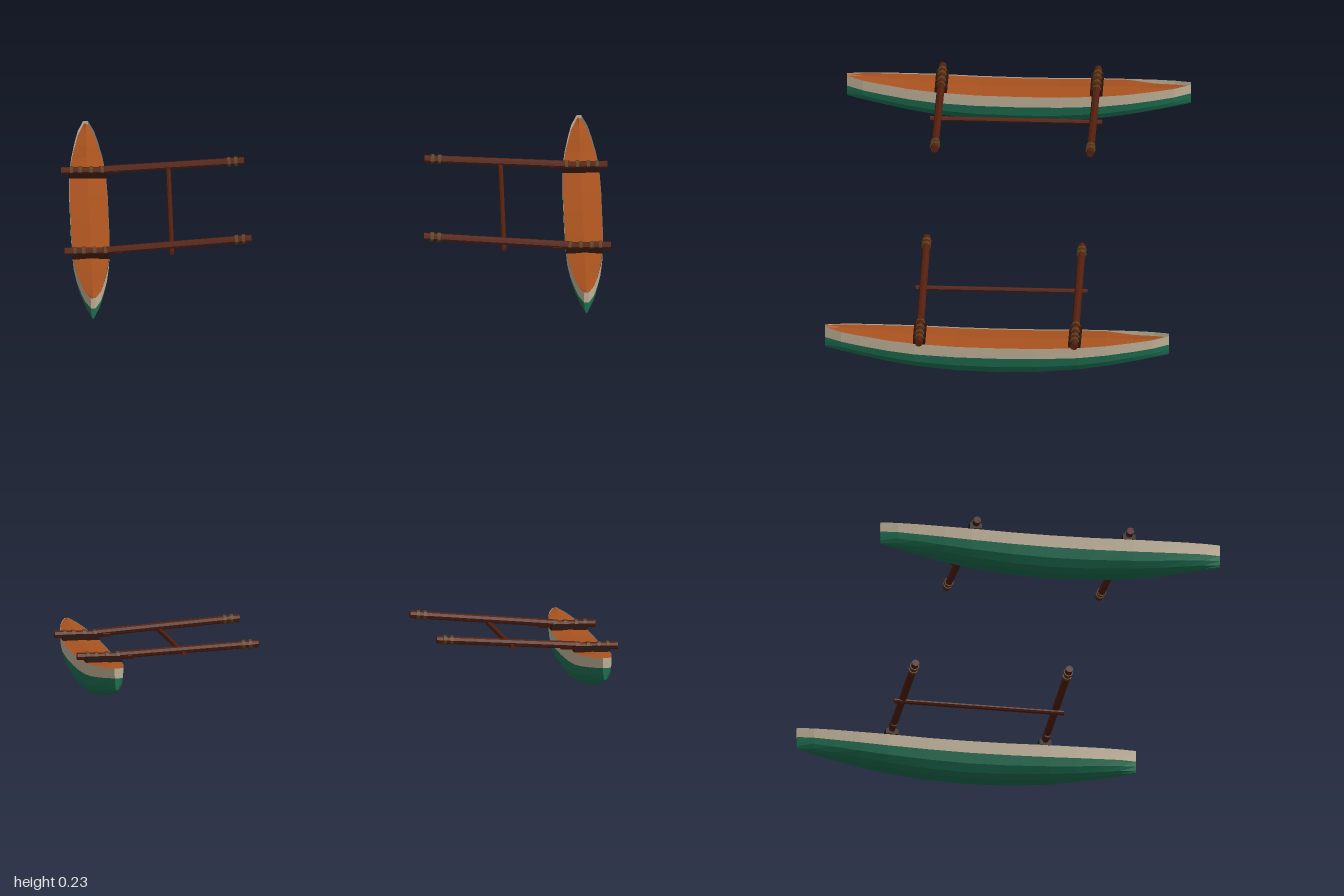
import * as THREE from 'three';

const mat = (name, color, extra = {}) => {
  const m = new THREE.MeshStandardMaterial({ color, flatShading: true, ...extra });
  m.name = name;
  return m;
};

// Skin a row of cross-sections, each with the same number of points
function loft(sections) {
  const n = sections[0].length, index = [];
  for (let s = 0; s < sections.length - 1; s++) {
    for (let p = 0; p < n - 1; p++) {
      const a = s * n + p, b = a + 1, c = a + n, d = c + 1;
      index.push(a, b, c, b, d, c);
    }
  }
  const g = new THREE.BufferGeometry();
  g.setAttribute('position', new THREE.Float32BufferAttribute(sections.flat(2), 3));
  g.setIndex(index);
  g.computeVertexNormals();
  return g;
}

// Cylinder running between two points
function pole(a, b, ra, rb, sides = 8) {
  const from = new THREE.Vector3(...a), to = new THREE.Vector3(...b);
  const dir = to.clone().sub(from);
  const g = new THREE.CylinderGeometry(rb, ra, dir.length(), sides);
  g.applyQuaternion(new THREE.Quaternion().setFromUnitVectors(new THREE.Vector3(0, 1, 0), dir.normalize()));
  const mid = from.add(to).multiplyScalar(0.5);
  return g.translate(mid.x, mid.y, mid.z);
}

// Stations along the float: z, half width, keel, stripe and rim heights
const half = [
  [0, 0.071, 0.002, 0.09, 0.136],
  [0.15, 0.071, 0.007, 0.092, 0.138],
  [0.3, 0.067, 0.022, 0.098, 0.145],
  [0.4, 0.058, 0.038, 0.106, 0.151],
  [0.5, 0.043, 0.058, 0.116, 0.16],
  [0.57, 0.03, 0.073, 0.124, 0.166],
  [0.63, 0.009, 0.086, 0.131, 0.174],
];
const stations = [
  ...half.slice(1).reverse().map(([z, w, k, s, r]) => [-z, w, k, s, r - 0.006 * (z / 0.63)]),
  ...half,
];

export function createModel() {
  const model = new THREE.Group();
  const green = mat('green paint', 0x1f7355, { side: THREE.DoubleSide });
  const cream = mat('cream paint', 0xc6b79d, { side: THREE.DoubleSide });
  const orange = mat('orange deck', 0xa9521f, { side: THREE.DoubleSide });
  const wood = mat('dark wood', 0x55200f);
  const cloth = mat('dark binding', 0x2b130b);
  const rope = mat('brown rope', 0x5f401c);

  const add = (group, name, geometry, material) => {
    const m = new THREE.Mesh(geometry, material);
    m.name = name;
    group.add(m);
    return m;
  };

  // Pinched first and last stations close the blunt ends
  const closed = [
    [...stations[0]], ...stations, [...stations.at(-1)],
  ];
  closed[0][1] = closed.at(-1)[1] = 0;

  const lower = loft(closed.map(([z, w, k, s]) => {
    const h = s - k;
    const side = [[0.96 * w, s], [0.86 * w, k + 0.55 * h], [0.64 * w, k + 0.22 * h], [0.34 * w, k + 0.05 * h]];
    return [
      ...side.map(([x, y]) => [-x, y, z]),
      [0, k, z],
      ...side.reverse().map(([x, y]) => [x, y, z]),
    ];
  }));
  const strake = (s) => loft(closed.map(([z, w, , st, r]) => {
    const row = [[s * 0.96 * w, st, z], [s * w, r, z]];
    return s > 0 ? row : row.reverse();
  }));
  // Crowned deck, sunk a little at the stern
  const deck = loft(stations.map(([z, w, , , r]) => {
    const y = r - (z < -0.45 ? 0.016 : 0.003);
    return [[0.97 * w, y, z], [0, y + 0.006, z], [-0.97 * w, y, z]];
  }));

  for (const s of [1, -1]) {
    const side = new THREE.Group();
    side.name = s > 0 ? 'leftOutrigger' : 'rightOutrigger';
    model.add(side);

    const float = new THREE.Group();
    float.name = 'float';
    float.position.x = 0.903 * s;
    side.add(float);
    add(float, 'lowerHull', lower, green);
    add(float, 'leftStrake', strake(1), cream);
    add(float, 'rightStrake', strake(-1), cream);
    add(float, 'deck', deck, orange);

    // Booms: sloping arm, then a level end lashed across the float
    for (const [z, inX, inY] of [[0.283, 0.315, 0.212], [-0.286, 0.33, 0.199]]) {
      const boom = new THREE.Group();
      boom.name = z > 0 ? 'frontBoom' : 'backBoom';
      side.add(boom);
      const inner = [inX * s, inY, z], knee = [0.86 * s, 0.167, z];
      add(boom, 'arm', pole(inner, knee, 0.014, 0.014), wood);
      add(boom, 'crossEnd', pole([0.79 * s, 0.165, z], [s, 0.165, z], 0.012, 0.014), wood);

      // Binding over the float
      const pad = add(boom, 'binding', new THREE.BoxGeometry(0.135, 0.022, 0.045), cloth);
      pad.position.set(0.903 * s, 0.155, z);
      for (const x of [0.85, 0.89, 0.93, 0.962]) {
        add(boom, 'floatLashing', pole([(x - 0.006) * s, 0.165, z], [(x + 0.006) * s, 0.165, z], 0.017, 0.017), rope);
      }
      // Rope rings near the inboard end
      for (const d of [0.03, 0.055]) {
        const at = (x) => [x * s, inY + (0.167 - inY) * (x - inX) / (0.86 - inX), z];
        add(boom, 'endLashing', pole(at(inX + d - 0.006), at(inX + d + 0.006), 0.018, 0.018), rope);
      }
    }
    // Thin spreader tying the two booms together
    add(side, 'spreader', pole([0.608 * s, 0.17, -0.318], [0.608 * s, 0.17, 0.312], 0.009, 0.009), wood);
  }
  return model;
}
